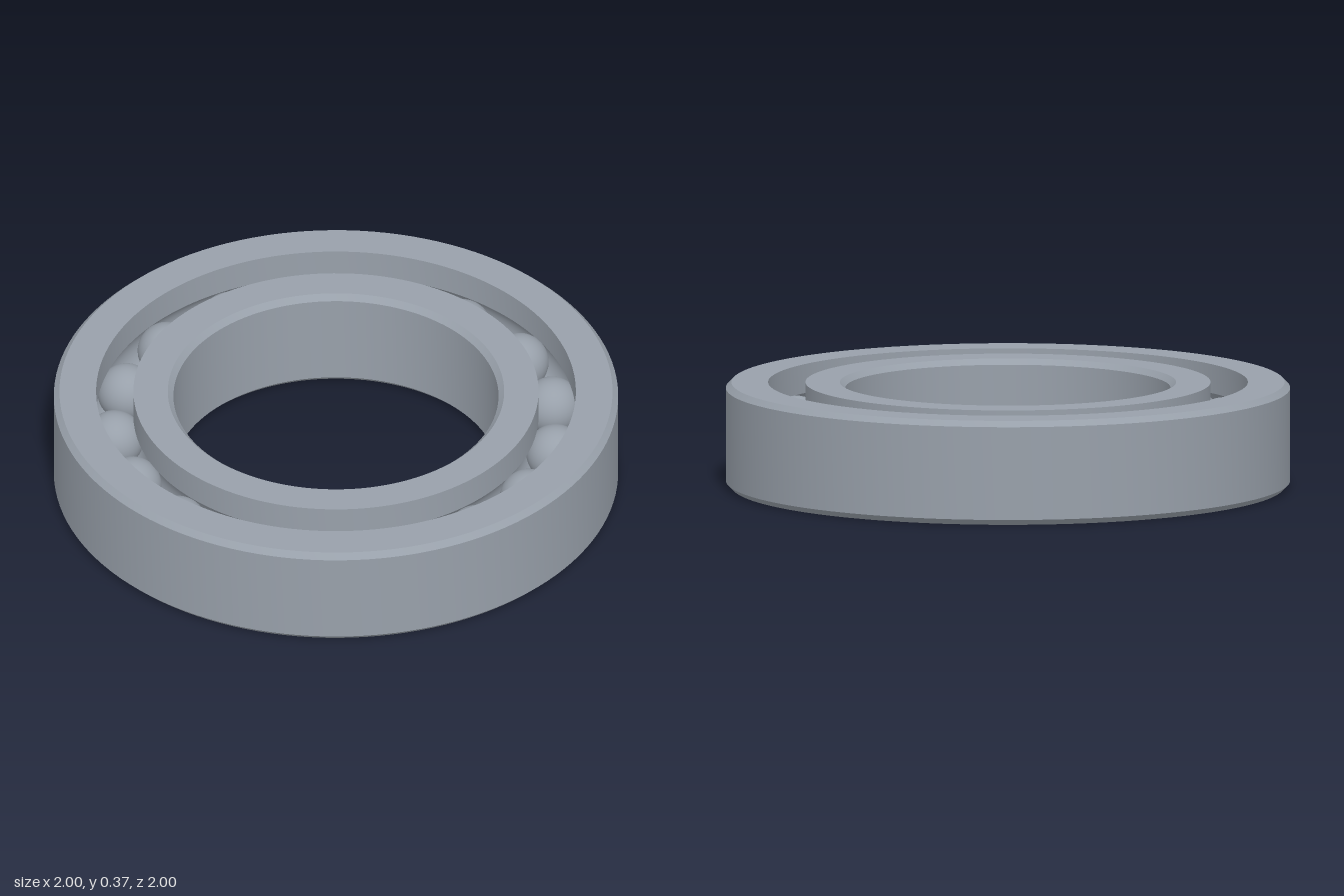
import * as THREE from 'three';
import { toCreasedNormals } from 'three/addons/utils/BufferGeometryUtils.js';

const HEIGHT = 0.372, MID = HEIGHT / 2;
const OUTER_R = 1, OUTER_BORE = 0.85;
const INNER_R = 0.718, INNER_BORE = 0.576;
const CHAMFER = 0.02;
const PITCH_R = 0.785, BALL_R = 0.103, GROOVE_R = 0.105, BALLS = 17;

// Arc of the ball groove where it cuts a cylindrical wall, from y low to high
function groove(wallR) {
  const side = Math.sign(wallR - PITCH_R);
  const half = Math.acos(Math.abs(wallR - PITCH_R) / GROOVE_R);
  const points = [];
  for (let i = 0; i <= 12; i++) {
    const a = half * (i / 6 - 1);
    points.push([PITCH_R + side * GROOVE_R * Math.cos(a), MID + GROOVE_R * Math.sin(a)]);
  }
  return points;
}

// Revolve a closed, counter-clockwise (radius, y) profile
function ring(name, profile, material) {
  const points = [...profile, profile[0]].map(([r, y]) => new THREE.Vector2(r, y));
  const geometry = toCreasedNormals(new THREE.LatheGeometry(points, 128), 0.5);
  const mesh = new THREE.Mesh(geometry, material);
  mesh.name = name;
  return mesh;
}

export function createModel() {
  const model = new THREE.Group();
  model.name = 'ballBearing';
  const steel = new THREE.MeshStandardMaterial({ color: 0x98a0aa });
  steel.name = 'steel';

  // Outer race: chamfered outside, grooved inside
  model.add(ring('outerRace', [
    [OUTER_BORE, 0], [OUTER_R - CHAMFER, 0], [OUTER_R, CHAMFER],
    [OUTER_R, HEIGHT - CHAMFER], [OUTER_R - CHAMFER, HEIGHT], [OUTER_BORE, HEIGHT],
    ...groove(OUTER_BORE).reverse(),
  ], steel));

  // Inner race: grooved outside, chamfered bore
  model.add(ring('innerRace', [
    [INNER_BORE + CHAMFER, 0], [INNER_R, 0],
    ...groove(INNER_R),
    [INNER_R, HEIGHT], [INNER_BORE + CHAMFER, HEIGHT],
    [INNER_BORE, HEIGHT - CHAMFER], [INNER_BORE, CHAMFER],
  ], steel));

  // Balls evenly spaced in the groove
  const balls = new THREE.Group();
  balls.name = 'balls';
  const ballGeometry = new THREE.SphereGeometry(BALL_R, 32, 20);
  for (let i = 0; i < BALLS; i++) {
    const a = -0.068 + (i / BALLS) * Math.PI * 2;
    const ball = new THREE.Mesh(ballGeometry, steel);
    ball.name = 'ball';
    ball.position.set(PITCH_R * Math.sin(a), MID, -PITCH_R * Math.cos(a));
    balls.add(ball);
  }
  model.add(balls);
  return model;
}
